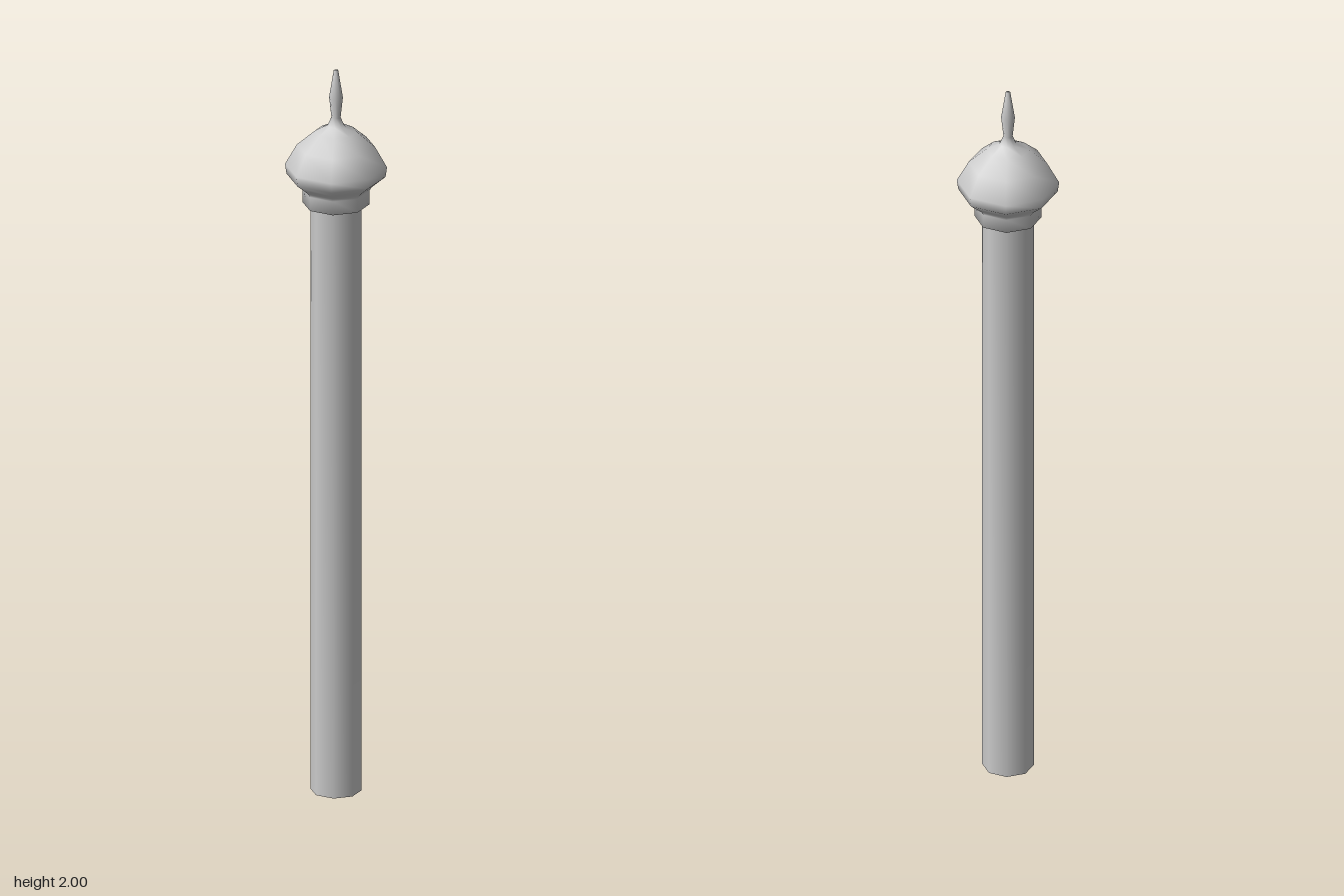
import * as THREE from 'three';

const SIDES = 8;

// Smooth eight-sided turned part from [radius, height] pairs, bottom to top
function turned(name, profile, material) {
  const points = profile.map(([r, y]) => new THREE.Vector2(r, y));
  const mesh = new THREE.Mesh(new THREE.LatheGeometry(points, SIDES), material);
  mesh.name = name;
  return mesh;
}

export function createModel() {
  const group = new THREE.Group();
  group.name = 'post';
  const material = new THREE.MeshStandardMaterial({ color: 0xcccccc, side: THREE.DoubleSide });

  // Hollow shaft, open at the bottom, running smoothly into the collar, dome and spike
  group.add(turned('postWithFinial', [
    // shaft
    [0.067, 0], [0.067, 1.63],
    // collar
    [0.087, 1.63], [0.087, 1.668], [0.092, 1.677],
    // flare and rim
    [0.107, 1.69], [0.129, 1.708], [0.133, 1.735],
    // dome
    [0.102, 1.79], [0.055, 1.83], [0.022, 1.847],
    // spike with a slight swelling
    [0.012, 1.87], [0.018, 1.925], [0.006, 2.0], [0, 2.0],
  ], material));

  return group;
}
